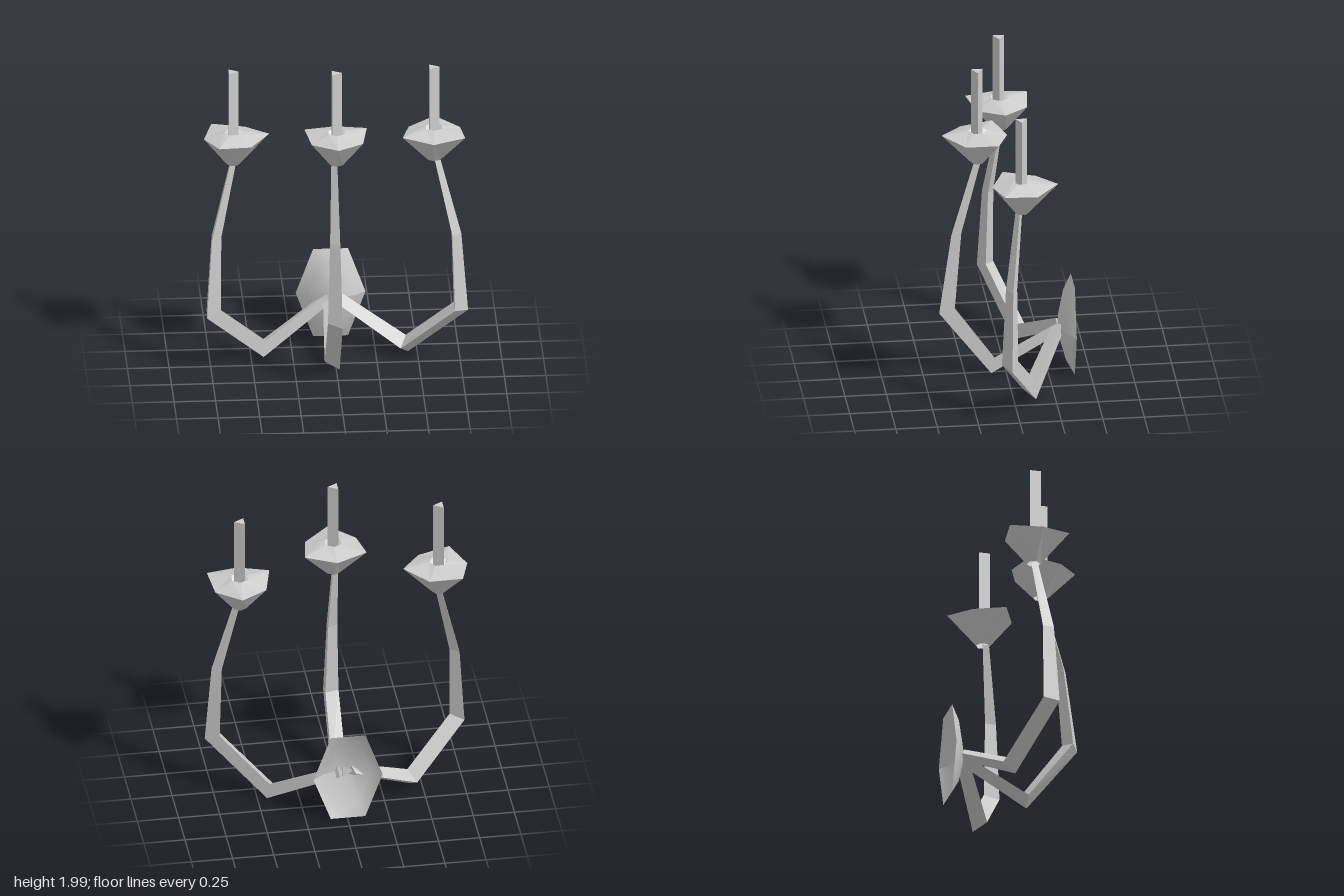
import * as THREE from 'three';

const metal = new THREE.MeshStandardMaterial({ color: 0xcccccc, flatShading: true, side: THREE.DoubleSide });
metal.name = 'greyMetal';
const smoothMetal = metal.clone();
smoothMetal.flatShading = false;

const HUB_Z = -0.34;

function part(name, geometry, parent, material = metal) {
  const mesh = new THREE.Mesh(geometry, material);
  mesh.name = name;
  parent.add(mesh);
  return mesh;
}

// Tapering three-sided arm. Each station: outer [r, y], inner [r, y],
// then the sideways offsets of the flat face and of the ridge.
function armGeometry(angle, stations) {
  const ox = Math.cos(angle), oz = Math.sin(angle);
  const place = (r, y, n) => [ox * r + oz * n, y, HUB_Z + oz * r - ox * n];
  const rings = stations.map(([ro, yo, ri, yi, flat, ridge]) => [
    place(ro, yo, flat),
    place(ri, yi, flat),
    place((ro + ri) / 2, (yo + yi) / 2, ridge),
  ]);
  const pos = [];
  const tri = (a, b, c) => pos.push(...a, ...b, ...c);
  for (let s = 0; s < rings.length - 1; s++) {
    const a = rings[s], b = rings[s + 1];
    for (let i = 0; i < 3; i++) {
      const j = (i + 1) % 3;
      tri(a[i], a[j], b[j]);
      tri(a[i], b[j], b[i]);
    }
  }
  const first = rings[0], last = rings[rings.length - 1];
  tri(first[2], first[1], first[0]);
  tri(last[0], last[1], last[2]);
  const g = new THREE.BufferGeometry();
  g.setAttribute('position', new THREE.Float32BufferAttribute(pos, 3));
  g.computeVertexNormals();
  return g;
}

// Six-sided drip cup with alternating long and short rim corners
function cupGeometry(cornerAngle) {
  const profile = [[0.042, 0], [0.217, 0.183], [0.055, 0.207]].map(p => new THREE.Vector2(...p));
  const g = new THREE.LatheGeometry(profile, 6, Math.PI / 2 - cornerAngle);
  const p = g.attributes.position;
  for (let i = 1; i < 6; i += 2) {
    const k = i * 3 + 1;
    p.setXYZ(k, p.getX(k) * 0.82, 0.168, p.getZ(k) * 0.82);
  }
  g.computeVertexNormals();
  return g;
}

export function createModel() {
  const model = new THREE.Group();
  model.name = 'wallCandleHolder';

  // Domed wall plate, a tall hexagon open at the back
  const dome = [[1, 0], [0.7, 0.05], [0.25, 0.085], [0, 0.092]].map(p => new THREE.Vector2(...p));
  const plate = new THREE.LatheGeometry(dome, 6, Math.PI / 2);
  plate.rotateX(Math.PI / 2);
  plate.scale(0.21, 0.331, 1);
  plate.computeVertexNormals();
  part('wallPlate', plate, model, smoothMetal).position.set(-0.005, 0.297, -0.405);

  const middlePath = [
    [0.005, 0.26, 0.01, 0.33, 0.015, -0.055],
    [0.43, 0.01, 0.41, 0.11, 0.02, -0.07],
    [0.745, 0.42, 0.65, 0.45, 0.02, -0.066],
    [0.67, 0.93, 0.61, 0.94, 0.01, -0.05],
    [0.53, 1.41, 0.49, 1.41, 0, -0.035],
  ];
  const sidePath = [
    [0.03, 0.26, 0.045, 0.33, 0.015, -0.055],
    [0.49, 0.02, 0.475, 0.125, 0.02, -0.07],
    [0.885, 0.365, 0.79, 0.4, 0.02, -0.066],
    [0.845, 0.865, 0.78, 0.87, 0.01, -0.05],
    [0.71, 1.34, 0.67, 1.34, 0, -0.035],
  ];

  const deg = Math.PI / 180;
  const branches = [
    { name: 'middle', angle: 90, path: middlePath, cup: [-0.003, 1.4, 0.17], corner: 90, top: 2 },
    { name: 'left', angle: 27.5, path: sidePath, cup: [0.595, 1.33, -0.03], corner: 34, top: 1.935 },
    { name: 'right', angle: 152.5, path: sidePath, cup: [-0.612, 1.33, -0.03], corner: 116, top: 1.935 },
  ];

  for (const b of branches) {
    const branch = new THREE.Group();
    branch.name = b.name + 'Branch';
    model.add(branch);
    part(b.name + 'Arm', armGeometry(b.angle * deg, b.path), branch);
    part(b.name + 'Cup', cupGeometry(b.corner * deg), branch).position.set(...b.cup);

    // Three-sided candle standing in the cup
    const base = b.cup[1] + 0.05;
    const candle = new THREE.CylinderGeometry(0.04, 0.04, b.top - base, 3, 1, false, Math.PI / 2);
    part(b.name + 'Candle', candle, branch).position.set(b.cup[0] - 0.008, (b.top + base) / 2, b.cup[2] + 0.003);
  }
  return model;
}
